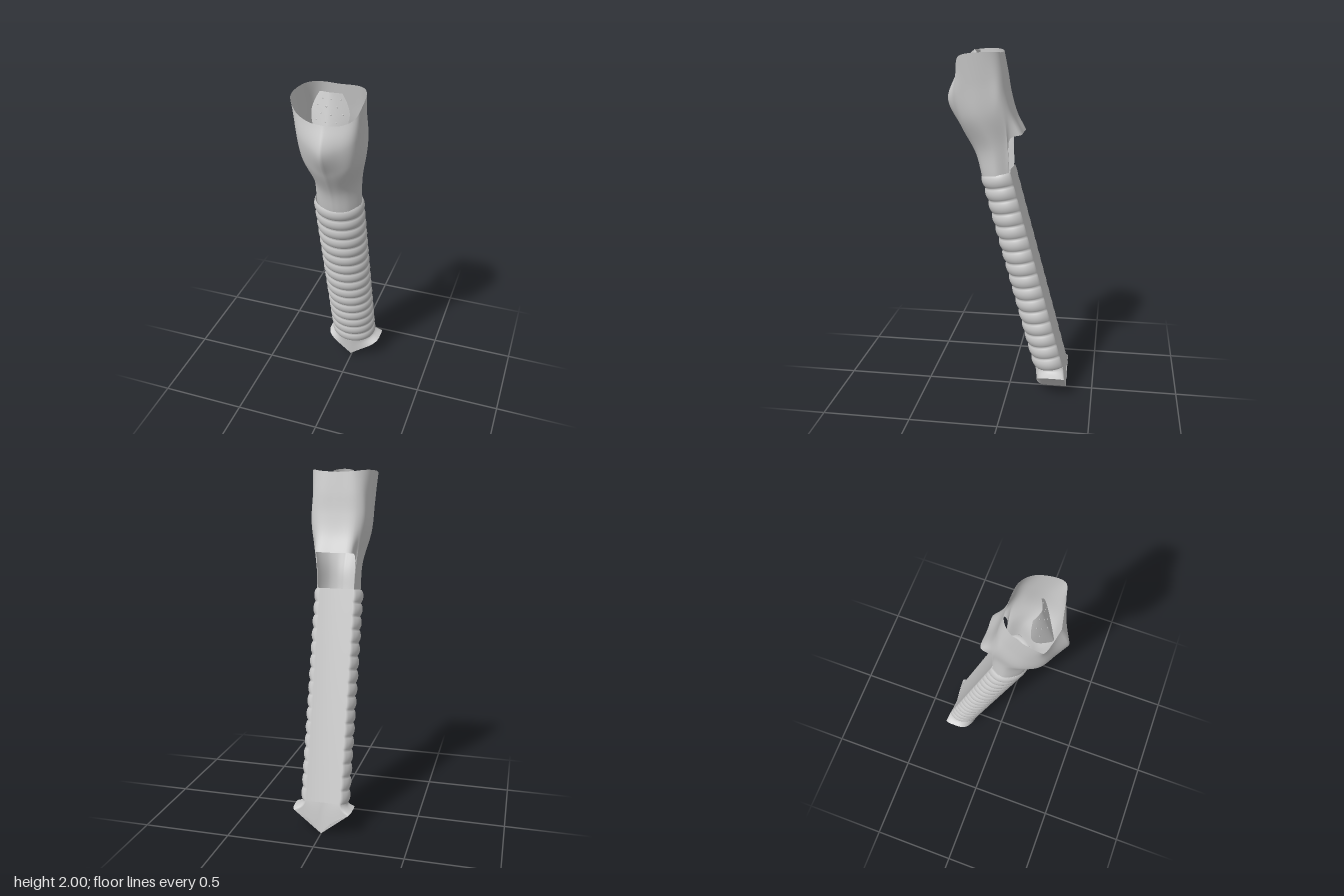
import * as THREE from 'three';

const material = new THREE.MeshStandardMaterial({ color: 0xcccccc, side: THREE.DoubleSide });

// Smooth skin through rows of points; point(row, col) returns a Vector3
function loft(name, rows, cols, closed, point) {
  const pos = [], index = [], n = closed ? cols : cols + 1;
  for (let i = 0; i <= rows; i++) {
    for (let j = 0; j < n; j++) pos.push(...point(i / rows, j / cols).toArray());
  }
  for (let i = 0; i < rows; i++) {
    for (let j = 0; j < cols; j++) {
      const a = i * n + j, b = i * n + (j + 1) % n;
      index.push(a, b, a + n, b, b + n, a + n);
    }
  }
  const g = new THREE.BufferGeometry();
  g.setAttribute('position', new THREE.Float32BufferAttribute(pos, 3));
  g.setIndex(index);
  g.computeVertexNormals();
  const mesh = new THREE.Mesh(g, material);
  mesh.name = name;
  return mesh;
}

// D-shaped windpipe section: round in front, slightly hollow behind
const TOP = 1.335, BOTTOM = 0.17, RINGS = 16;
function tubePoint(y, a, bulge) {
  const x = (0.13 + bulge) * Math.sin(a);
  let z = (0.108 + bulge) * Math.cos(a);
  if (z < -0.066) z = -0.066 + 0.01 * Math.max(0, 1 - Math.pow(x / 0.105, 2));
  return new THREE.Vector3(x - 0.004, y - 0.2 * z, 0.04 + (y - 1.3) * 0.268 + z);
}

// Rings soften towards the back
function windpipe() {
  return loft('ringedWindpipe', RINGS * 10, 72, true, (t, u) => {
    const a = -u * Math.PI * 2;
    const fade = THREE.MathUtils.smoothstep(Math.cos(a), -1.1, 0);
    const bulge = 0.012 * fade * Math.pow(Math.abs(Math.sin(Math.PI * RINGS * t)), 0.7);
    return tubePoint(TOP + (BOTTOM - TOP) * t, a, bulge);
  });
}

// Outline of the flared end: square at the back, rounded in front, on two slanting planes
const slant = (x) => 0.003 + 0.8 * Math.abs(x);
const frontLift = (a) => 0.022 * Math.pow(Math.max(0, Math.cos(a)), 4);
function endPoint(a) {
  const s = Math.sin(a), c = Math.cos(a);
  const x = 0.17 * Math.sign(s) * Math.pow(Math.abs(s), c < 0 ? 0.5 : 0.8);
  const z = -0.275 + Math.max(0.107 * Math.sign(c) * Math.pow(Math.abs(c), 0.6), -0.068);
  return new THREE.Vector3(x, slant(x) + frontLift(a), z);
}

function fork() {
  const group = new THREE.Group();
  group.name = 'forkedEnd';
  group.add(loft('forkWall', 12, 96, true, (t, u) => {
    const a = -u * Math.PI * 2;
    const end = endPoint(a);
    const p = tubePoint(BOTTOM, a, 0);
    const x = THREE.MathUtils.lerp(p.x, end.x, t * t);
    p.lerp(end, t);
    p.x = x;
    return p;
  }));
  // Hollowed undersides meeting in a middle ridge
  group.add(loft('forkHollows', 10, 96, true, (t, u) => {
    const a = -u * Math.PI * 2;
    const p = endPoint(a);
    const depth = 0.02 * Math.sin(Math.PI * t) * Math.min(1, Math.abs(p.x) / 0.12);
    p.x *= 1 - t;
    p.y = slant(p.x) + frontLift(a) + depth;
    return p;
  }));
  return group;
}

// Left-hand rails of the voice box, from the back middle round to the front keel
const RAILS = [
  [[0, 1.555, -0.077], [0, 1.65, -0.03], [0, 1.76, 0], [0, 1.88, 0.02], [0, 1.985, 0.037]],
  [[0.1, 1.555, -0.073], [0.1, 1.65, -0.027], [0.105, 1.76, 0.005], [0.1, 1.88, 0.025], [0.09, 1.99, 0.045]],
  [[0.11, 1.535, -0.015], [0.13, 1.64, 0], [0.145, 1.76, 0.03], [0.14, 1.88, 0.05], [0.135, 1.995, 0.075]],
  [[0.108, 1.32, 0], [0.118, 1.5, 0.015], [0.16, 1.68, 0.07], [0.163, 1.85, 0.1], [0.168, 1.995, 0.13]],
  [[0.127, 1.32, 0.06], [0.133, 1.48, 0.08], [0.168, 1.66, 0.16], [0.177, 1.83, 0.19], [0.184, 1.975, 0.245]],
  [[0.085, 1.315, 0.13], [0.09, 1.46, 0.16], [0.13, 1.64, 0.24], [0.148, 1.78, 0.265], [0.152, 1.91, 0.267]],
  [[0.04, 1.31, 0.153], [0.045, 1.44, 0.185], [0.06, 1.6, 0.265], [0.065, 1.74, 0.31], [0.08, 1.872, 0.282]],
  [[0, 1.31, 0.16], [0, 1.43, 0.192], [0, 1.58, 0.275], [0, 1.73, 0.347], [0, 1.87, 0.298]],
].map((r) => new THREE.CatmullRomCurve3(r.map((p) => new THREE.Vector3(...p))));

function voiceBox() {
  const cache = new Map();
  const half = (t) => {
    if (!cache.has(t)) cache.set(t, new THREE.CatmullRomCurve3(RAILS.map((r) => r.getPoint(t))));
    return cache.get(t);
  };
  return loft('voiceBoxShell', 40, 84, true, (t, u) => {
    const p = half(t).getPoint(1 - Math.abs(1 - 2 * u));
    if (u < 0.5) p.x = -p.x;
    return p;
  });
}

// Leaf-shaped flap standing inside the open top
function flapPoint(u, v) {
  const w = v < 0.62
    ? 0.01 + 0.09 * Math.sin((v / 0.62) * Math.PI / 2)
    : 0.1 - 0.042 * Math.pow((v - 0.62) / 0.38, 1.6);
  return new THREE.Vector3(u * w, 1.72 + 0.28 * v - 0.008 * v * u * u,
    0.27 - 0.075 * v - 0.4 * w * Math.pow(Math.abs(u), 1.5));
}

function flap() {
  const group = new THREE.Group();
  group.name = 'leafFlap';
  group.add(loft('flapLeaf', 24, 24, false, (t, s) => flapPoint(2 * s - 1, t)));
  // Small pits over the leaf
  const pit = new THREE.SphereGeometry(0.005, 8, 6);
  for (let row = 0; row < 4; row++) {
    for (let k = 0; k < 3; k++) {
      const dot = new THREE.Mesh(pit, material);
      dot.name = 'flapPit';
      dot.position.copy(flapPoint((k - 1) * 0.55 + (row % 2 ? 0.15 : -0.1), 0.5 + row * 0.13));
      dot.scale.z = 0.4;
      group.add(dot);
    }
  }
  return group;
}

export function createModel() {
  const model = new THREE.Group();
  model.name = 'windpipeModel';
  model.add(windpipe(), fork(), voiceBox(), flap());
  return model;
}
